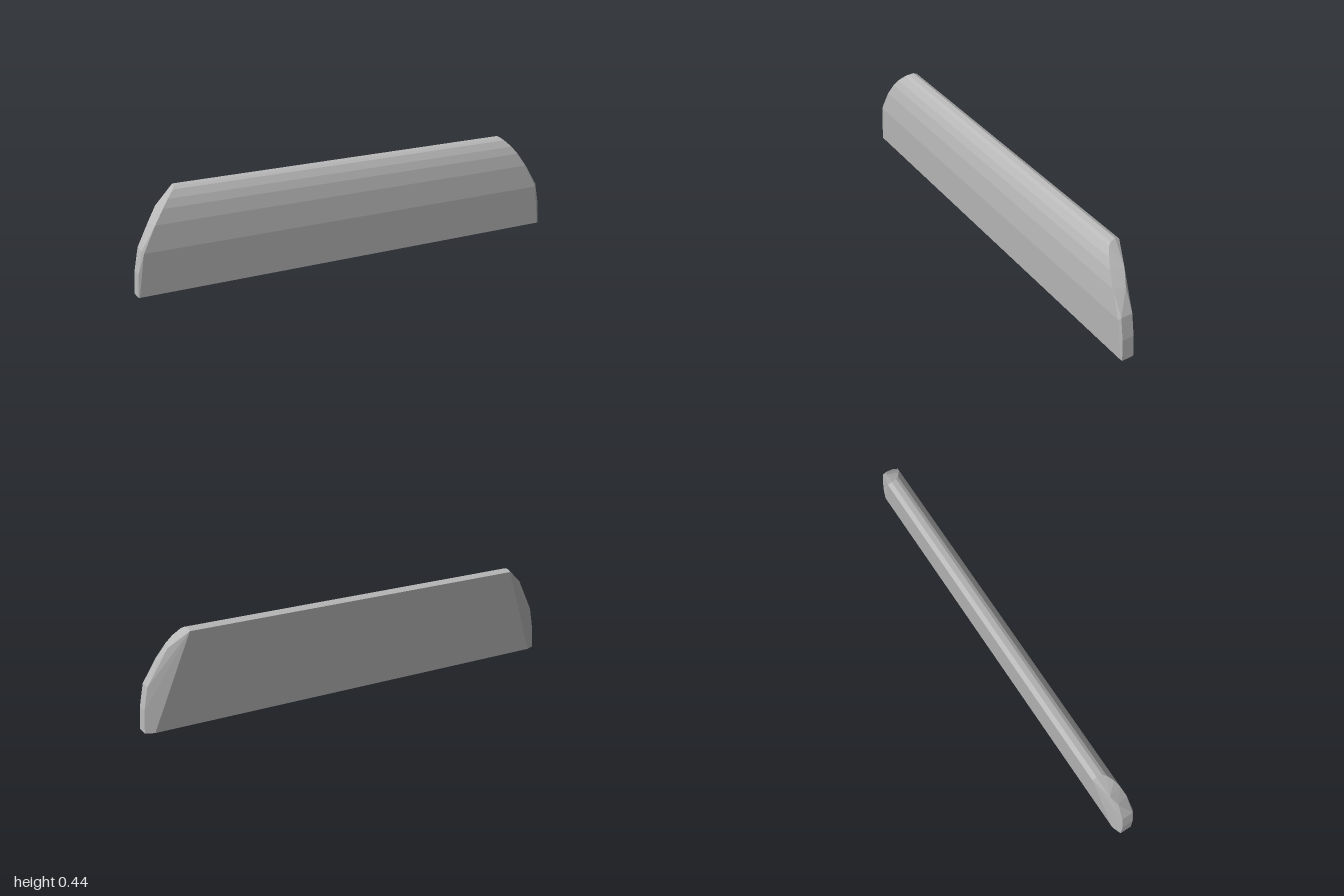
import * as THREE from 'three';
import { ConvexGeometry } from 'three/addons/geometries/ConvexGeometry.js';

export function createModel() {
  const group = new THREE.Group();
  const grey = new THREE.MeshStandardMaterial({ color: 0xb8b8b8 });
  grey.name = 'light grey';

  // Ends of the bulged front and rounded top, from the foot up to the back edge
  const frontEdge = [
    [0.995, 0, 0.052], [0.968, 0.19, 0.059], [0.912, 0.3, 0.05],
    [0.872, 0.36, 0.037], [0.845, 0.395, 0.023], [0.815, 0.425, 0.003],
    [0.805, 0.434, -0.012], [0.8, 0.438, -0.037], [0.8, 0.428, -0.057],
  ];
  // Outermost rim of the curved end
  const outerRim = [
    [1, 0, 0.05], [0.994, 0.1, 0.051], [0.975, 0.2, 0.05],
    [1, 0, -0.005], [0.994, 0.1, -0.003], [0.975, 0.2, -0.003],
    [0.927, 0.3, -0.001], [0.885, 0.36, -0.022],
  ];
  // Foot of the leaning flat back
  const backFoot = [[0.96, 0, -0.02]];

  // Mirror the end and wrap the faceted panel around both
  const points = [];
  for (const [x, y, z] of [...frontEdge, ...outerRim, ...backFoot]) {
    for (const side of [-1, 1]) points.push(new THREE.Vector3(side * x, y, z));
  }
  const panel = new THREE.Mesh(new ConvexGeometry(points), grey);
  panel.name = 'roundedPanel';
  group.add(panel);
  return group;
}
